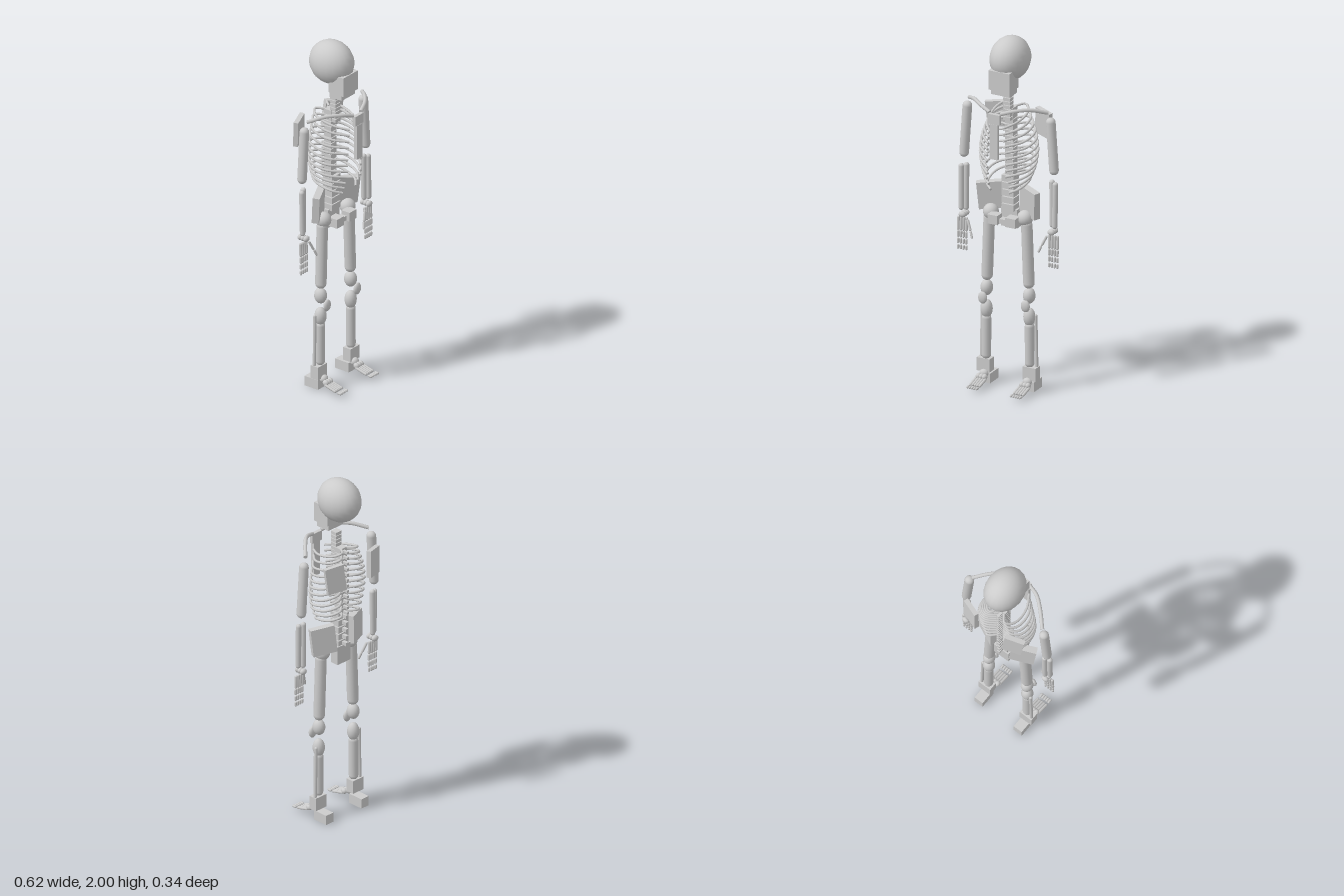
import * as THREE from 'three';

const mat = new THREE.MeshStandardMaterial({ color: 0xcccccc });
const V = (x, y, z) => new THREE.Vector3(x, y, z);

export function createModel() {
  const model = new THREE.Group();
  model.name = 'skeleton';

  const add = (parent, name, geo, x = 0, y = 0, z = 0) => {
    const m = new THREE.Mesh(geo, mat);
    m.name = name;
    m.position.set(x, y, z);
    parent.add(m);
    return m;
  };
  // Box given by its centre and size, with optional rotation
  const box = (parent, name, c, s, r = [0, 0, 0]) => {
    const m = add(parent, name, new THREE.BoxGeometry(...s), ...c);
    m.rotation.set(...r);
    return m;
  };
  // Ellipsoid given by its centre and three radii
  const ball = (parent, name, c, r, seg = 16) => {
    const m = add(parent, name, new THREE.SphereGeometry(1, seg, Math.round(seg * 0.75)), ...c);
    m.scale.set(...r);
    return m;
  };
  // Capsule whose rounded tips reach points a and b
  const bone = (parent, name, a, b, r, seg = 12) => {
    const p = V(...a), q = V(...b), d = q.clone().sub(p), len = d.length();
    const m = add(parent, name, new THREE.CapsuleGeometry(r, Math.max(len - 2 * r, 0.001), 4, seg));
    m.position.copy(p).add(q).multiplyScalar(0.5);
    m.quaternion.setFromUnitVectors(V(0, 1, 0), d.normalize());
    return m;
  };
  // Round tube through points, closed by discs at both ends
  const tube = (parent, name, pts, r, steps) => {
    const curve = new THREE.CatmullRomCurve3(pts.map(p => V(...p)));
    const g = new THREE.Group();
    g.name = name;
    parent.add(g);
    add(g, name + 'Shaft', new THREE.TubeGeometry(curve, steps, r, 8));
    for (const t of [0, 1]) {
      const cap = add(g, name + 'End', new THREE.CircleGeometry(r, 8));
      cap.position.copy(curve.getPoint(t));
      cap.quaternion.setFromUnitVectors(V(0, 0, 1), curve.getTangent(t).multiplyScalar(t ? 1 : -1));
    }
  };
  const group = (name) => {
    const g = new THREE.Group();
    g.name = name;
    model.add(g);
    return g;
  };

  // Head
  const head = group('head');
  ball(head, 'skull', [0, 1.878, -0.026], [0.106, 0.122, 0.13], 20);
  box(head, 'face', [0, 1.785, 0.052], [0.126, 0.11, 0.1]);
  box(head, 'jaw', [0, 1.715, 0.044], [0.112, 0.03, 0.084]);

  // Spine: neck, chest and lower back vertebrae
  const spine = group('spine');
  for (let i = 0; i < 7; i++)
    box(spine, 'neckVertebra', [0, 1.675 - i * 0.022, -0.003], [0.042, 0.018, 0.038]);
  for (let i = 0; i < 12; i++) {
    const y = 1.585 - i * 0.033;
    box(spine, 'chestVertebra', [0, y, -0.035], [0.05, 0.028, 0.046]);
    box(spine, 'chestSpine', [0, y - 0.004, -0.07], [0.014, 0.014, 0.04]);
  }
  for (let i = 0; i < 5; i++) {
    const y = 1.195 - i * 0.041;
    box(spine, 'lumbarVertebra', [0, y, -0.025], [0.074, 0.035, 0.06]);
    box(spine, 'lumbarSpine', [0, y, -0.068], [0.018, 0.02, 0.036]);
  }
  box(spine, 'sacrum', [0, 0.967, -0.036], [0.098, 0.105, 0.05]);

  // Breastbone
  const chest = group('breastbone');
  box(chest, 'manubrium', [0, 1.59, 0.151], [0.07, 0.056, 0.02]);
  box(chest, 'sternum', [0, 1.462, 0.153], [0.048, 0.2, 0.02]);

  for (const s of [1, -1]) {
    const side = s > 0 ? 'left' : 'right';
    const P = (x, y, z) => [s * x, y, z];

    // Ribs curve back, out and forward, dropping toward the front
    const ribs = group(side + 'Ribs');
    for (let i = 0; i < 12; i++) {
      const w = 0.09 + 0.07 * Math.sin(Math.PI * Math.min(1, (i + 0.3) / 12.5));
      const y = 1.597 - i * 0.0345;
      const front = i < 9 ? 0.128 : 0.128 - (i - 8) * 0.012;
      const pts = [
        P(0.02, y, -0.06), P(w * 0.55, y + 0.004, -0.098), P(w * 0.9, y - 0.012, -0.07),
        P(w, y - 0.028, -0.015), P(w * 0.87, y - 0.045, 0.055),
        P(Math.max(0.04, w * 0.35) + (i > 8 ? 0.015 : 0), y - 0.062, front),
      ];
      tube(ribs, 'rib', pts, 0.0068, 20);
    }

    // Shoulder
    const shoulder = group(side + 'Shoulder');
    tube(shoulder, 'collarbone', [
      P(0.033, 1.622, 0.144), P(0.1, 1.641, 0.118), P(0.165, 1.642, 0.065), P(0.237, 1.615, -0.008),
    ], 0.0105, 20);
    box(shoulder, 'shoulderBlade', P(0.142, 1.495, -0.136), [0.108, 0.15, 0.026], [0.06, -0.35 * s, -0.09 * s]);

    // Arm
    const arm = group(side + 'Arm');
    bone(arm, 'upperArm', P(0.25, 1.588, -0.012), P(0.273, 1.265, -0.012), 0.026, 16);
    bone(arm, 'ulna', P(0.258, 1.235, -0.014), P(0.26, 0.962, -0.014), 0.015);
    bone(arm, 'radius', P(0.284, 1.228, -0.004), P(0.282, 0.962, 0), 0.015);
    for (const z of [-0.024, -0.004, 0.015])
      ball(arm, 'wristBone', P(0.268, 0.944, z), [0.021, 0.017, 0.015], 12);

    // Hand
    const hand = group(side + 'Hand');
    for (let i = 0; i < 4; i++) {
      const x = 0.25 + i * 0.0165;
      bone(hand, 'palmBone', P(x, 0.925, -0.002), P(x, 0.845, 0.002), 0.008, 8);
      bone(hand, 'fingerBase', P(x, 0.845, 0.002), P(x, 0.805, 0.003), 0.0075, 8);
      bone(hand, 'fingerMiddle', P(x, 0.802, 0.003), P(x, 0.77, 0.003), 0.007, 8);
      bone(hand, 'fingerTip', P(x, 0.765, 0.003), P(x, 0.737, 0.003), 0.0065, 8);
    }
    bone(hand, 'thumbBase', P(0.24, 0.918, 0.008), P(0.214, 0.86, 0.022), 0.007, 8);
    bone(hand, 'thumbTip', P(0.214, 0.862, 0.022), P(0.2, 0.823, 0.032), 0.0065, 8);

    // Hip
    const hip = group(side + 'Hip');
    box(hip, 'hipBlade', P(0.119, 1.077, -0.022), [0.135, 0.155, 0.038], [0.06, -0.45 * s, -0.07 * s]);
    box(hip, 'pubicBone', P(0.054, 0.976, 0.048), [0.06, 0.052, 0.056]);
    box(hip, 'pubicJoint', P(0.013, 0.966, 0.035), [0.026, 0.026, 0.04]);

    // Leg
    const leg = group(side + 'Leg');
    ball(leg, 'hipBall', P(0.103, 0.99, 0), [0.043, 0.043, 0.043]);
    bone(leg, 'thigh', P(0.112, 0.985, 0), P(0.127, 0.592, 0), 0.031, 16);
    ball(leg, 'kneeEnd', P(0.128, 0.55, 0), [0.033, 0.045, 0.036]);
    ball(leg, 'kneecap', P(0.129, 0.505, 0.045), [0.027, 0.034, 0.015], 12);
    ball(leg, 'shinHead', P(0.129, 0.428, 0), [0.033, 0.052, 0.033]);
    bone(leg, 'shin', P(0.13, 0.4, 0), P(0.131, 0.14, 0), 0.026, 16);
    bone(leg, 'fibula', P(0.161, 0.445, -0.012), P(0.167, 0.14, -0.012), 0.009);

    // Foot
    const foot = group(side + 'Foot');
    box(foot, 'ankle', P(0.139, 0.109, -0.003), [0.078, 0.075, 0.05]);
    box(foot, 'heel', P(0.132, 0.031, -0.04), [0.054, 0.055, 0.092]);
    ball(foot, 'instepBone', P(0.131, 0.066, 0.025), [0.026, 0.022, 0.022], 12);
    for (const x of [0.113, 0.131, 0.149])
      ball(foot, 'instepBone', P(x, 0.055, 0.052), [0.015, 0.016, 0.018], 12);
    for (let i = 0; i < 5; i++) {
      const x = 0.104 + i * 0.0137;
      bone(foot, 'footBone', P(x, 0.048, 0.052), P(x, 0.028, 0.13), 0.0078, 8);
      bone(foot, 'toe', P(x, 0.026, 0.138), P(x, 0.026, 0.166), 0.007, 8);
    }
  }

  return model;
}
